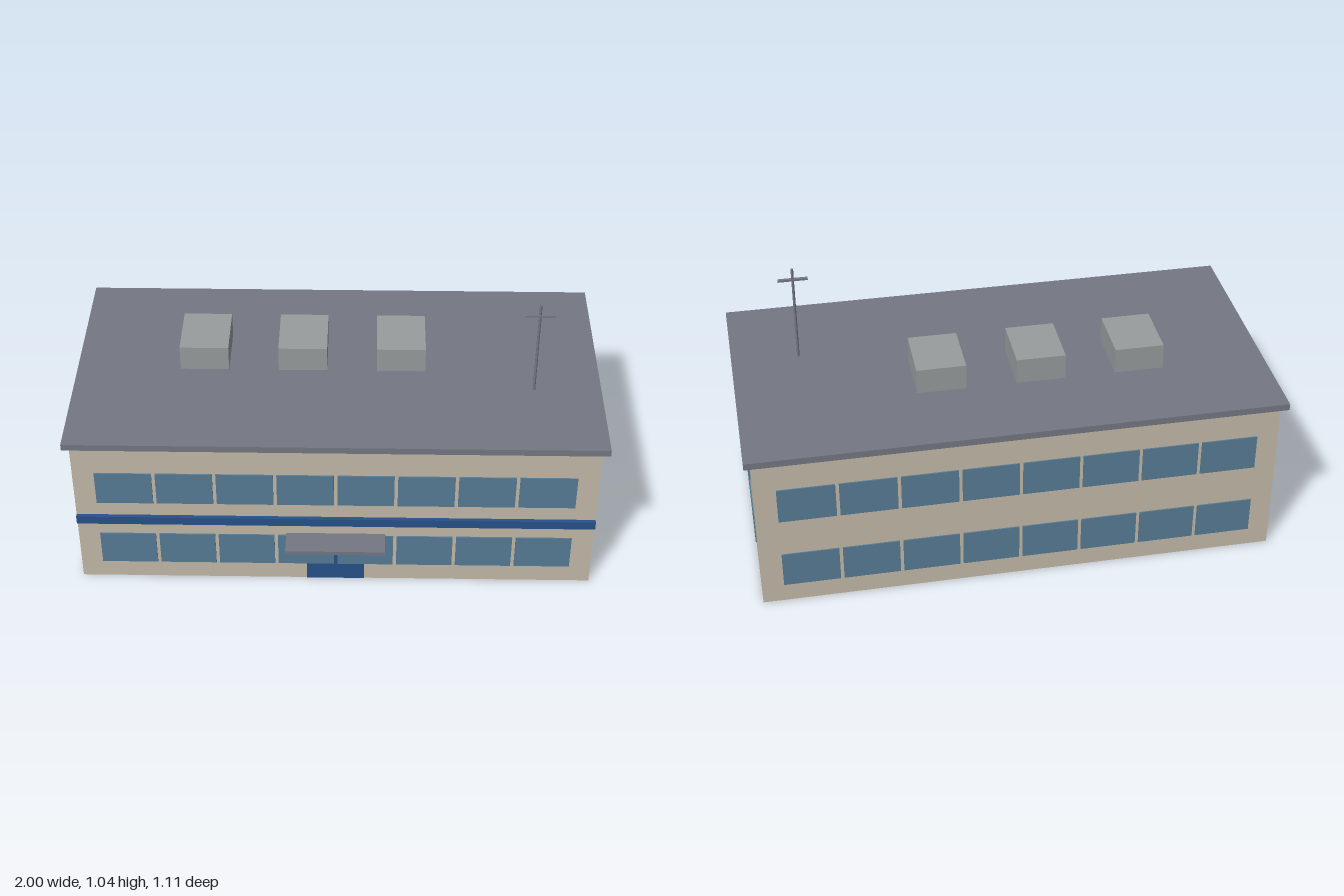
import * as THREE from 'three';

const mat = (name, color) => {
  const m = new THREE.MeshStandardMaterial({ color });
  m.name = name;
  return m;
};

export function createModel() {
  const wall = mat('beige wall', 0xc4bbaa);
  const roofGrey = mat('roof grey', 0x757884);
  const glass = mat('window glass', 0x587d96);
  const blue = mat('trim blue', 0x28528a);
  const unitGrey = mat('unit grey', 0x999d9e);

  const model = new THREE.Group();
  model.name = 'officeBuilding';

  // Box given by its extents on each axis
  const box = (name, material, [x0, x1], [y0, y1], [z0, z1]) => {
    const mesh = new THREE.Mesh(new THREE.BoxGeometry(x1 - x0, y1 - y0, z1 - z0), material);
    mesh.position.set((x0 + x1) / 2, (y0 + y1) / 2, (z0 + z1) / 2);
    mesh.name = name;
    model.add(mesh);
    return mesh;
  };

  const W = 0.975, front = 0.45, back = -0.53;

  // Main block and overhanging roof slab
  box('walls', wall, [-W, W], [0, 0.635], [back, front]);
  box('roof', roofGrey, [-1, 1], [0.635, 0.661], [-0.553, 0.47]);

  // Front band, door and canopy
  box('frontBand', blue, [-W, W], [0.276, 0.311], [front, front + 0.015]);
  box('door', blue, [-0.11, 0.11], [0, 0.215], [front, front + 0.002]);
  box('canopy', roofGrey, [-0.187, 0.187], [0.213, 0.228], [front, 0.553]);

  // Two storeys of windows on all four sides
  for (const y of [[0.076, 0.219], [0.372, 0.514]]) {
    for (let i = 0; i < 8; i++) {
      const x = -0.7875 + i * 0.225;
      const span = [x - 0.106, x + 0.106];
      box('frontWindow', glass, span, y, [front, front + 0.005]);
      box('backWindow', glass, span, y, [back - 0.005, back]);
    }
    box('leftWindow', glass, [W, W + 0.004], y, [-0.266, 0.187]);
    box('rightWindow', glass, [-W - 0.004, -W], y, [-0.266, 0.187]);
  }

  // Rooftop units
  for (const x of [-0.51, -0.133, 0.243]) {
    box('rooftopUnit', unitGrey, [x - 0.093, x + 0.093], [0.661, 0.761], [-0.23, -0.002]);
  }

  // Antenna mast and crossbar
  const mast = new THREE.Mesh(new THREE.CylinderGeometry(0.005, 0.005, 0.385, 8), roofGrey);
  mast.position.set(0.745, 0.8525, 0.105);
  mast.name = 'antennaMast';
  model.add(mast);
  box('antennaCrossbar', roofGrey, [0.689, 0.801], [0.995, 1.003], [0.099, 0.111]);

  return model;
}
